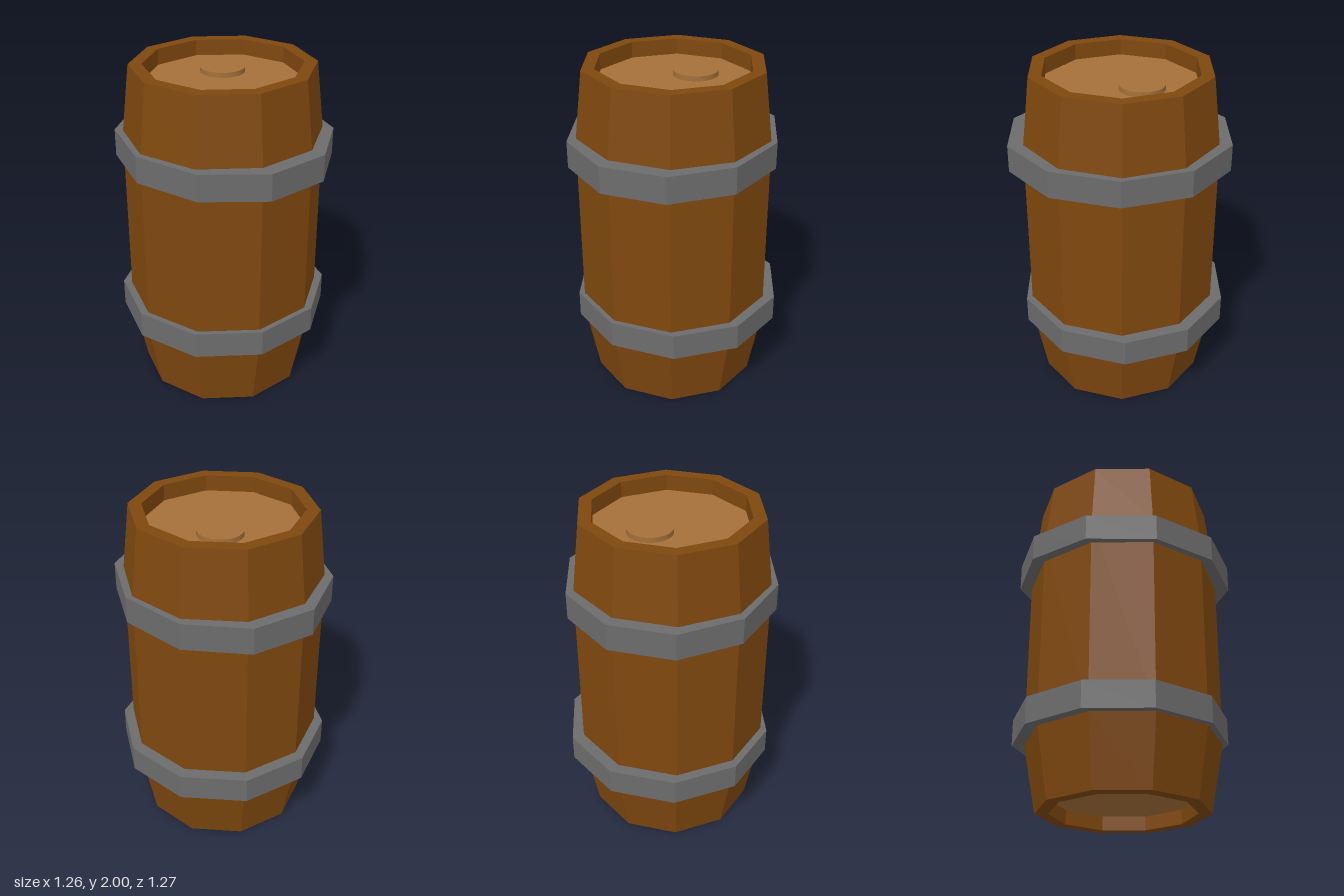
import * as THREE from 'three';

const SIDES = 10;

const stave = new THREE.MeshStandardMaterial({ color: 0x7f480e });
stave.name = 'staveBrown';
const iron = new THREE.MeshStandardMaterial({ color: 0x6c6c6c });
iron.name = 'ironGrey';
const head = new THREE.MeshStandardMaterial({ color: 0xa47039 });
head.name = 'headTan';

// Faceted solid of revolution; the profile runs counter-clockwise (outside going up)
function facetedLathe(profile) {
  const points = profile.map(([r, y]) => new THREE.Vector2(r, y));
  const geometry = new THREE.LatheGeometry(points, SIDES).toNonIndexed();
  geometry.computeVertexNormals();
  return geometry;
}

export function createModel() {
  const group = new THREE.Group();
  group.name = 'barrel';

  function add(name, geometry, material, x, y, z) {
    const mesh = new THREE.Mesh(geometry, material);
    mesh.name = name;
    mesh.position.set(x, y, z);
    group.add(mesh);
    return mesh;
  }

  const cx = -0.01;
  const cz = 0.013;

  // Staves: outer wall plus the rims and inner walls at both ends
  add('staves', facetedLathe([
    [0.425, 0.085], [0.425, 0], [0.503, 0], [0.582, 0.42],
    [0.582, 1.59], [0.533, 2], [0.457, 2], [0.457, 1.905],
  ]), stave, cx, 0, cz);

  // Recessed heads closing both ends
  add('topHead', new THREE.CylinderGeometry(0.457, 0.457, 0.02, SIDES), head, cx, 1.895, cz);
  add('bottomHead', new THREE.CylinderGeometry(0.425, 0.425, 0.02, SIDES), head, cx, 0.095, cz);

  // Round bung on the top head
  add('bung', new THREE.CylinderGeometry(0.131, 0.131, 0.03, 40), head, -0.125, 1.919, -0.075);

  // Iron hoops, each fitted slightly off-centre
  const hoops = [
    { name: 'lowerHoop', x: -0.027, y: 0.405, z: 0, rx: 0.634, rz: 0.636 },
    { name: 'upperHoop', x: -0.002, y: 1.445, z: 0.013, rx: 0.665, rz: 0.618 },
  ];
  for (const { name, x, y, z, rx, rz } of hoops) {
    const ring = facetedLathe([[0.82, 0.16], [0.82, 0], [1, 0], [1, 0.16], [0.82, 0.16]]);
    ring.scale(rx, 1, rz);
    add(name, ring, iron, x, y, z);
  }

  return group;
}
